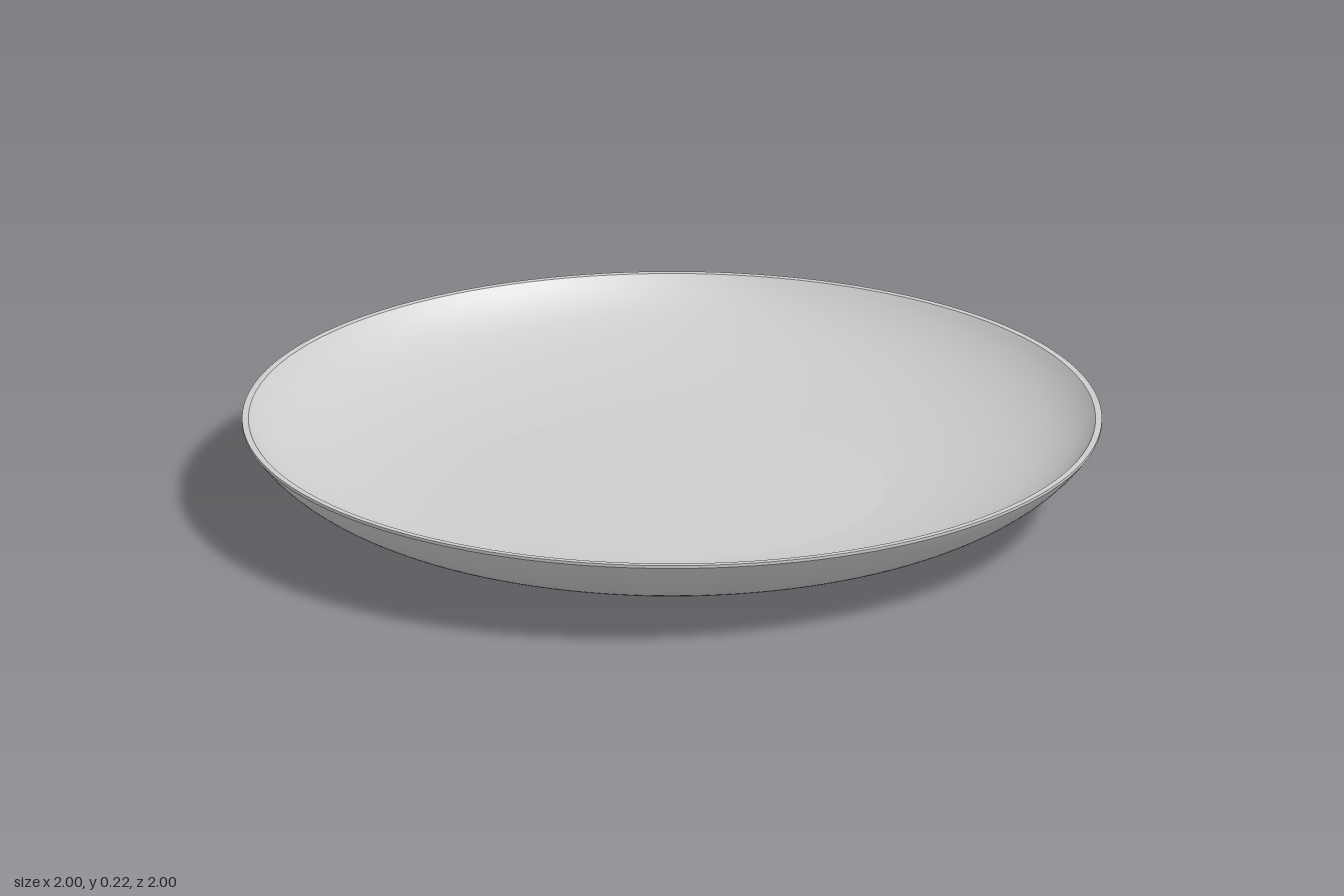
import * as THREE from 'three';

const SEGMENTS = 128;
const v = (r, y) => new THREE.Vector2(r, y);
const curve = (a, b, c, n = 24) => new THREE.QuadraticBezierCurve(a, b, c).getPoints(n);

export function createModel() {
  const plate = new THREE.Group();
  plate.name = 'plate';
  const glaze = new THREE.MeshStandardMaterial({ color: 0xcccccc });
  glaze.name = 'pale grey glaze';

  // Each section is turned separately so the edges between them stay crisp
  const turn = (name, points) => {
    const mesh = new THREE.Mesh(new THREE.LatheGeometry(points, SEGMENTS), glaze);
    mesh.name = name;
    plate.add(mesh);
  };

  // Underside: recessed base with a rounded corner running into the foot
  turn('baseRecess', [v(0, 0.025), v(0.5, 0.025),
    ...curve(v(0.515, 0.025), v(0.535, 0.022), v(0.538, 0), 8)]
    .map((p) => p));
  // Foot ring
  turn('footBottom', [v(0.538, 0), v(0.615, 0)]);
  turn('footWall', [v(0.615, 0), v(0.615, 0.027)]);
  // Curved outside of the bowl
  turn('outerWall', curve(v(0.615, 0.027), v(0.895, 0.06), v(1, 0.21)));
  // Narrow rim
  turn('rimEdge', [v(1, 0.21), v(1, 0.217)]);
  turn('rimTop', [v(1, 0.217), v(0.985, 0.217)]);
  // Curved inside and flat centre
  turn('innerWall', curve(v(0.985, 0.217), v(0.875, 0.072), v(0.5, 0.05)));
  turn('centre', [v(0.5, 0.05), v(0, 0.05)]);

  return plate;
}
